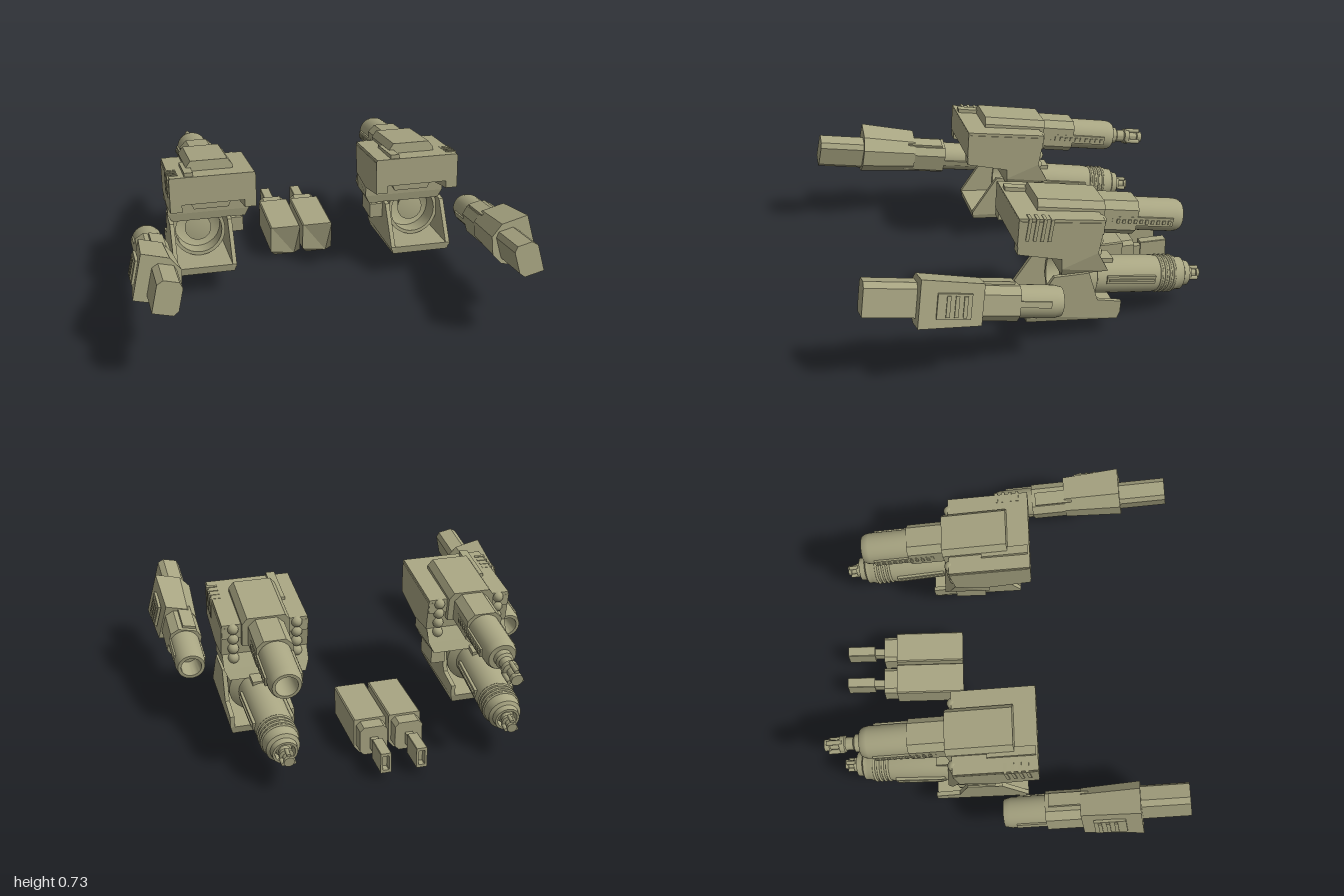
import * as THREE from 'three';
import { toCreasedNormals } from 'three/addons/utils/BufferGeometryUtils.js';

const olive = new THREE.MeshStandardMaterial({ color: 0xa8a582 });
olive.name = 'olive';

function add(parent, name, geometry, x = 0, y = 0, z = 0) {
  const mesh = new THREE.Mesh(geometry, olive);
  mesh.name = name;
  mesh.position.set(x, y, z);
  parent.add(mesh);
  return mesh;
}

function group(parent, name, x = 0, y = 0, z = 0) {
  const g = new THREE.Group();
  g.name = name;
  g.position.set(x, y, z);
  parent.add(g);
  return g;
}

const box = (w, h, d) => new THREE.BoxGeometry(w, h, d);
const outline = (pts) => new THREE.Shape(pts.map(([a, b]) => new THREE.Vector2(a, b)));

// Side profile of [z, y] points, given a width along x
function sideProfile(pts, width) {
  const g = new THREE.ExtrudeGeometry(outline(pts), { depth: width, bevelEnabled: false });
  return g.translate(0, 0, -width / 2).rotateY(-Math.PI / 2);
}

// Cross-section of [x, y] points, run from z0 to z1, with an optional hole
function section(pts, z0, z1, hole) {
  const s = outline(pts);
  if (hole) s.holes.push(outline(hole));
  return new THREE.ExtrudeGeometry(s, { depth: z1 - z0, bevelEnabled: false }).translate(0, 0, z0);
}

// Turned part of [radius, distance back] points, along -z
function turned(pts) {
  const g = new THREE.LatheGeometry(pts.map(([r, d]) => new THREE.Vector2(r, d)), 32);
  return toCreasedNormals(g.rotateX(-Math.PI / 2), 0.6);
}

// Draws in the vertices below a height
function narrow(g, below, factor) {
  const p = g.attributes.position;
  for (let i = 0; i < p.count; i++) if (p.getY(i) < below) p.setX(i, p.getX(i) * factor);
  g.computeVertexNormals();
  return g;
}

const chamfered = (w, h, c) => [[-w, -h + c], [-w + c, -h], [w - c, -h], [w, -h + c],
  [w, h - c], [w - c, h], [-w + c, h], [-w, h - c]];

// Small muzzle with prongs, starting at distance d behind
function nozzle(parent, d, scale, length) {
  const g = group(parent, 'nozzle', 0, 0, -d);
  const r = (v) => v * scale, l = (v) => v * length;
  add(g, 'nozzleCore', turned([[r(0.045), 0], [r(0.045), l(0.2)], [r(0.033), l(0.25)], [r(0.033), l(0.45)],
    [r(0.042), l(0.47)], [r(0.042), l(0.6)], [r(0.024), l(0.63)], [r(0.024), l(0.85)],
    [r(0.03), l(0.87)], [r(0.03), l(1)], [0, l(1)]]));
  for (let i = 0; i < 3; i++) {
    const a = Math.PI / 2 + i * Math.PI * 2 / 3;
    add(g, 'nozzleProng', new THREE.CylinderGeometry(r(0.012), r(0.012), l(0.4), 10).rotateX(Math.PI / 2),
      Math.cos(a) * r(0.036), Math.sin(a) * r(0.036), -l(0.72));
  }
}

function housing(root, s) {
  const h = group(root, 'housing', s * 0.534 - 0.003, 0, 0);
  // Hood: roof, front lip and cheeks
  add(h, 'hoodRoof', sideProfile([[0.15, 0.695], [0.152, 0.62], [-0.265, 0.56], [-0.27, 0.635]], 0.43));
  add(h, 'hoodLip', sideProfile([[0.151, 0.69], [0.16, 0.55], [0.12, 0.54], [0.11, 0.66]], 0.438));
  for (const e of [-1, 1]) {
    add(h, 'hoodCheek', sideProfile([[0.15, 0.68], [0.16, 0.51], [-0.06, 0.455], [-0.24, 0.465],
      [-0.27, 0.62]], 0.06), e * 0.189);
    // Round fittings on the rear shoulders
    for (let i = 0; i < 4; i++) {
      add(h, 'rearFitting', new THREE.SphereGeometry(0.028, 14, 10), e * 0.16, 0.61 - i * 0.055, -0.265 + i * 0.006);
    }
  }
  // Main block carrying the hood
  add(h, 'housingBody', narrow(sideProfile([[-0.06, 0.62], [-0.06, 0.4], [-0.066, 0.355], [-0.3, 0.35],
    [-0.275, 0.4], [-0.24, 0.465], [-0.262, 0.62]], 0.43), 0.37, 0.9));
  add(h, 'underBlock', section([[-0.12, 0.55], [-0.09, 0.475], [0.09, 0.475], [0.12, 0.55]], -0.07, 0.06));
  add(h, 'roofStrip', sideProfile([[0.14, 0.715], [0.14, 0.68], [-0.1, 0.64], [-0.1, 0.675]], 0.045), -0.118);
  // Cooling slats on the outer edge
  for (let i = 0; i < 4; i++) {
    const slat = add(h, 'coolingSlat', box(0.055, 0.115, 0.016), s * 0.197, 0.635 - i * 0.006, 0.105 - i * 0.036);
    slat.rotation.x = -0.16;
  }

  // Upper cannon
  const c = group(h, 'upperCannon', 0, 0.58, -0.28);
  c.rotation.x = -0.163;
  const cap = section([[-0.12, -0.06], [0.12, -0.06], [0.12, 0.065], [0.095, 0.098], [-0.095, 0.098], [-0.12, 0.065]], -0.01, 0.33);
  add(c, 'cannonCover', cap);
  add(c, 'barrelSleeve', section(chamfered(0.09, 0.088, 0.035), -0.2, 0));
  const bore = s > 0 ? [[0.055, 0.45], [0.055, 0.3], [0, 0.3]] : [[0, 0.45]];
  add(c, 'upperBarrel', turned([[0, 0], [0.083, 0], [0.083, 0.41], [0.079, 0.435], [0.07, 0.45], ...bore]));
  for (const e of [-1, 1]) {
    add(c, 'sideRail', box(0.02, 0.045, 0.32), e * 0.081, -0.005, -0.23);
    for (let i = 0; i < 10; i++) add(c, 'railTooth', box(0.008, 0.02, 0.015), e * 0.093, -0.005, -0.1 - i * 0.03);
  }
  add(c, 'lowerRail', box(0.08, 0.035, 0.16), 0, -0.075, -0.1);
  if (s < 0) nozzle(c, 0.44, 1, 0.2);
}

function lowerUnit(root, s) {
  const u = group(root, 'lowerUnit', s * 0.582 - 0.002, 0, 0);
  // Open cradle
  add(u, 'cradleFloor', narrow(sideProfile([[0.115, 0.165], [-0.363, 0.12], [-0.352, 0.08], [0.11, 0.125]], 0.326), 0.13, 0.93));
  const floor = u.children[0].geometry.attributes.position;
  for (let i = 0; i < floor.count; i++) {
    if (floor.getZ(i) < -0.36) floor.setX(i, Math.sign(floor.getX(i)) * 0.163);
  }
  for (const e of [-1, 1]) {
    add(u, 'cradleSide', sideProfile([[0.115, 0.165], [-0.025, 0.36], [-0.2, 0.36], [-0.245, 0.205],
      [-0.367, 0.18], [-0.363, 0.12], [0.115, 0.15]], 0.022), e * 0.152);
  }
  add(u, 'innerBracket', box(0.075, 0.08, 0.16), -s * 0.195, 0.3, -0.16);

  // Lower cannon with an open front collar
  const c = group(u, 'lowerCannon', 0, 0.265, -0.24);
  c.rotation.set(-0.15, s * 0.04, 0);
  add(c, 'frontCollar', turned([[0, -0.04], [0.09, -0.04], [0.122, -0.06], [0.122, -0.17], [0.14, -0.17], [0.14, 0], [0.1, 0.02], [0, 0.02]]));
  add(c, 'lowerBarrel', turned([[0.097, 0], [0.095, 0.34], [0.09, 0.36], [0.09, 0.46], [0.083, 0.475],
    [0.083, 0.5], [0.066, 0.51], [0.062, 0.54], [0.05, 0.54], [0.045, 0.5], [0, 0.5]]));
  add(c, 'breechBlock', turned([[0, -0.1], [0.05, -0.1], [0.07, -0.04], [0, -0.03]].reverse()
    .map(([r, d]) => [r, -0.14 - d])), 0, 0, 0.02);
  for (let i = 0; i < 4; i++) {
    add(c, 'barrelRib', new THREE.TorusGeometry(0.09, 0.007, 6, 32), 0, 0, -0.37 - i * 0.024);
  }
  add(c, 'topBlock', box(0.09, 0.03, 0.11), 0, 0.092, -0.05);
  for (const e of [-1, 1]) {
    add(c, 'sideRail', box(0.018, 0.04, 0.26), e * 0.094, 0.015, -0.2);
    add(c, 'sideSlot', box(0.008, 0.012, 0.24), e * 0.106, 0.015, -0.2);
  }
  nozzle(c, 0.49, 0.85, 0.12);
}

function armCannon(root, s) {
  const a = group(root, 'armCannon', s * 0.872 - 0.001, 0.305, 0);
  a.rotation.set(-0.16, 0, s * 0.235);
  const m = (pts) => pts.map(([x, y]) => [x * s, y]);
  add(a, 'armBarrel', turned([[0, -0.45], [0.08, -0.45], [0.078, -0.02], [0.07, 0.015], [0.053, 0.015], [0.05, -0.1], [0, -0.1]]));
  add(a, 'barrelSleeve', section(m(chamfered(0.084, 0.084, 0.035)), 0.2, 0.45));
  // Faceted body, tapered at its rear
  const shape = [[0.107, -0.11], [0.107, 0.12], [-0.03, 0.118], [-0.095, 0.07], [-0.112, -0.02], [-0.08, -0.08], [0, -0.11]];
  const body = section(m(shape), 0.4, 0.68);
  const p = body.attributes.position;
  for (let i = 0; i < p.count; i++) {
    if (p.getZ(i) < 0.41) p.setXYZ(i, p.getX(i) * 0.86, p.getY(i) * 0.86, 0.38);
  }
  body.computeVertexNormals();
  add(a, 'armBody', body);
  add(a, 'outerPlate', box(0.015, 0.12, 0.16), s * 0.108, 0, 0.52);
  for (let i = 0; i < 3; i++) add(a, 'plateRib', box(0.012, 0.1, 0.018), s * 0.116, 0, 0.47 + i * 0.04);
  // Forward block
  add(a, 'forwardBlock', section(m([[-0.075, -0.05], [-0.055, -0.075], [0.045, -0.075], [0.045, 0.06],
    [0.02, 0.085], [-0.055, 0.085], [-0.075, 0.06]]), 0.66, 0.925));
  add(a, 'topPlate', box(0.07, 0.025, 0.2), -s * 0.01, 0.085, 0.32);
  for (const e of [-1, 1]) add(a, 'barrelRail', box(0.01, 0.03, 0.24), e * 0.079, 0.005, 0.17);
}

function lowerPod(root, x) {
  const g = group(root, 'pod', x, 0, 0);
  const shell = section([[-0.082, 0.035], [-0.055, 0], [0.055, 0], [0.082, 0.035], [0.082, 0.18], [0.076, 0.186],
    [-0.076, 0.186], [-0.082, 0.18]], -0.575, -0.215);
  // Sloped lower front
  const p = shell.attributes.position;
  for (let i = 0; i < p.count; i++) if (p.getZ(i) > -0.3 && p.getY(i) < 0.05) p.setZ(i, -0.225 - (0.035 - p.getY(i)) * 0.9);
  shell.computeVertexNormals();
  add(g, 'podShell', shell);
  add(g, 'podRear', section(chamfered(0.07, 0.075, 0.02), -0.645, -0.57), 0, 0.1, 0);
  add(g, 'podNeck', box(0.038, 0.06, 0.08), 0, 0.088, -0.675);
  add(g, 'podTip', section(chamfered(0.027, 0.053, 0.003), -0.845, -0.7, chamfered(0.016, 0.038, 0.003)), 0, 0.088, 0);
  add(g, 'podTipCore', box(0.034, 0.078, 0.1), 0, 0.088, -0.755);
}

export function createModel() {
  const root = new THREE.Group();
  root.name = 'cannonSet';
  for (const s of [-1, 1]) {
    housing(root, s);
    lowerUnit(root, s);
    armCannon(root, s);
    lowerPod(root, s * 0.09 - 0.005);
  }
  return root;
}
